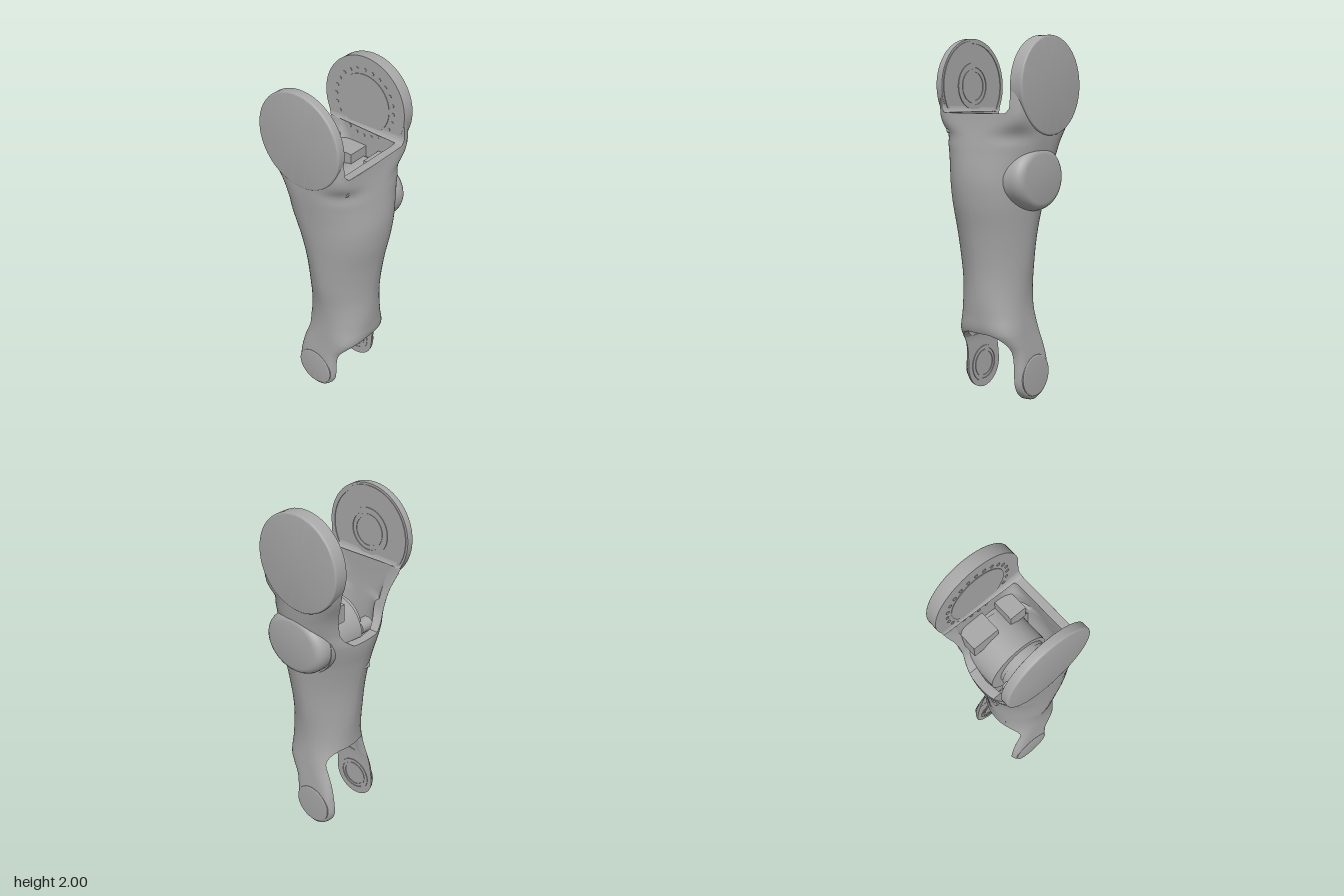
import * as THREE from 'three';
import { toCreasedNormals } from 'three/addons/utils/BufferGeometryUtils.js';

const grey = new THREE.MeshStandardMaterial({ color: 0xa8a8a8 });
grey.name = 'satin grey';

const SEAM = 0.01; // z of the plane where the two shell halves meet
const KNEE = { x: -0.033, y: 1.738, r: 0.262 };
const ANKLE = { x: -0.03, y: 0.143, r: 0.14 };

// Smooth curve through [y, value] pairs
function curve(...pairs) {
  const ys = pairs.map(p => p[0]);
  const f = new THREE.CubicInterpolant(ys, pairs.map(p => p[1]), 1);
  return y => f.evaluate(THREE.MathUtils.clamp(y, ys[0], ys[ys.length - 1]))[0];
}

// Outline of the leg: side edges, front and back depth, squareness of the section
const rightEdge = curve([0.143, 0.11], [0.25, 0.12], [0.3, 0.14], [0.35, 0.18], [0.4, 0.217], [0.5, 0.23], [0.75, 0.24],
  [0.95, 0.262], [1.12, 0.288], [1.25, 0.293], [1.4, 0.272], [1.55, 0.245], [1.65, 0.235], [1.738, 0.227]);
const leftEdge = curve([0.143, -0.17], [0.25, -0.16], [0.35, -0.15], [0.45, -0.15], [0.52, -0.147], [0.75, -0.167],
  [0.95, -0.19], [1.1, -0.215], [1.26, -0.24], [1.35, -0.225], [1.45, -0.23], [1.6, -0.267], [1.738, -0.293]);
const frontDepth = curve([0, 0.195], [0.04, 0.21], [0.1, 0.213], [0.2, 0.213], [0.4, 0.202], [0.55, 0.2], [0.65, 0.207],
  [0.8, 0.232], [1.1, 0.265], [1.3, 0.28], [1.45, 0.291], [1.6, 0.292], [1.8, 0.289], [2, 0.28]);
const backDepth = curve([0, 0.185], [0.04, 0.2], [0.1, 0.203], [0.2, 0.203], [0.4, 0.187], [0.55, 0.178], [0.65, 0.182],
  [0.8, 0.2], [1.08, 0.235], [1.25, 0.255], [1.4, 0.278], [1.5, 0.29], [1.6, 0.292], [1.8, 0.289], [2, 0.28]);
const squareRight = curve([0, 8], [0.2, 7], [0.3, 5], [0.42, 3], [0.55, 2.2], [1.2, 2.1], [1.42, 2.5], [1.5, 3.2], [1.6, 9], [1.7, 11], [2, 11]);
const squareLeft = curve([0, 8], [0.2, 7], [0.3, 5], [0.42, 3], [0.55, 2.2], [1.2, 2.1], [1.35, 3], [1.5, 5], [1.6, 9], [1.7, 11], [2, 11]);
const wall = curve([0, 0.03], [0.6, 0.03], [1, 0.045], [2, 0.045]);
const leftFork = curve([1.26, 0.4], [1.31, 0.66], [1.4, 0.8], [1.55, 0.95], [1.6, 1]);

function edges(y) {
  for (const [c, outside] of [[KNEE, y > KNEE.y], [ANKLE, y < ANKLE.y]]) {
    if (!outside) continue;
    const r = c === KNEE ? c.r - 0.002 : c.r; // tucked just inside the knee plates
    const w = Math.sqrt(Math.max(0, r ** 2 - (y - c.y) ** 2));
    return [c.x - w, c.x + w];
  }
  return [leftEdge(y), rightEdge(y)];
}

// Depth at which the side wall is cut away, giving the upper and lower forks
function cutDepth(y, isRight, top, bottom) {
  const fillet = (d, r) => r * (1 - Math.sqrt(Math.max(0, 1 - d * d)));
  if (y > 1) {
    if (!isRight) return y < 1.26 ? 0 : top * leftFork(y);
    return y < 1.595 ? 0 : top - fillet(Math.max(0, (1.635 - y) / 0.04), 0.04);
  }
  const end = isRight ? 0.4 : 0.52;
  return y > end ? 0 : bottom - fillet(Math.max(0, (y - end + 0.1) / 0.1), 0.1);
}

// One C-shaped half of the hollow shell, lofted upwards; side is +1 front, -1 back
function shellHalf(side) {
  const N = 48;
  const [top, bottom] = side > 0 ? [0.241, 0.165] : [0.231, 0.165];
  const levels = [];
  for (let i = 0; i <= 12; i++) {
    const c = Math.cos((i / 12) * Math.PI / 2);
    levels.push(ANKLE.y - ANKLE.r * c, KNEE.y + (KNEE.r - 0.002) * c);
  }
  for (let y = 0.16; y < 1.73; y += 0.02) levels.push(y);
  for (const b of [0.33, 0.4, 0.52, 1.26, 1.595]) levels.push(b - 0.001, b + 0.001);
  levels.sort((a, b) => a - b);

  const rings = levels.map(y => {
    const [xl, xr] = edges(y);
    const xc = (xl + xr) / 2, a = Math.max((xr - xl) / 2, 0.001);
    const b = side > 0 ? frontDepth(y) - SEAM : backDepth(y) + SEAM;
    const cutR = cutDepth(y, true, top, bottom), cutL = cutDepth(y, false, top, bottom);
    const arc = (ax, bz, sharpen) => {
      const nR = squareRight(y) * sharpen, nL = squareLeft(y) * sharpen;
      const start = (cut, n) => {
        const s = Math.min(cut / bz, 0.97);
        return Math.atan2(s, (1 - s ** n) ** (1 / n));
      };
      const lo = start(cutR, nR), hi = Math.PI - start(cutL, nL), pts = [];
      for (let i = 0; i <= N; i++) {
        const t = THREE.MathUtils.clamp(i / N * Math.PI, lo, hi);
        const c = Math.cos(t), s = Math.sin(t), n = c > 0 ? nR : nL;
        const r = (Math.abs(c) ** n + Math.abs(s) ** n) ** (-1 / n);
        pts.push([xc + ax * r * c, bz * r * s]);
      }
      return pts;
    };
    const outer = arc(a, b, 1);
    const solid = y < 0.33 || y > 1.595; // fork plates are solid
    const inner = solid
      ? outer.map(([x], i) => [x, THREE.MathUtils.lerp(cutR, cutL, i / N)])
      : arc(Math.max(a - wall(y), 0.01), Math.min(b - wall(y), y > 1 ? top : bottom + Math.max(0, y - 0.5)), y > 1.4 ? 1.5 : 1);
    return [...outer, ...inner.reverse()].map(([x, z]) => new THREE.Vector3(x, y, SEAM + side * z));
  });

  const pos = [], n = rings[0].length;
  const tri = (a, b, c) => {
    const area = b.clone().sub(a).cross(c.clone().sub(a)).length();
    if (area < 1e-9) return;
    for (const p of side > 0 ? [a, b, c] : [a, c, b]) pos.push(p.x, p.y, p.z);
  };
  for (let k = 0; k + 1 < rings.length; k++) {
    for (let j = 0; j < n; j++) {
      const m = (j + 1) % n, [lo, up] = [rings[k], rings[k + 1]];
      tri(lo[j], up[j], up[m]);
      tri(lo[j], up[m], lo[m]);
    }
  }
  const g = new THREE.BufferGeometry();
  g.setAttribute('position', new THREE.Float32BufferAttribute(pos, 3));
  return toCreasedNormals(g, 0.6);
}

export function createModel() {
  const model = new THREE.Group();
  model.name = 'lowerLeg';
  const add = (name, geometry, x = 0, y = 0, z = 0) => {
    const mesh = new THREE.Mesh(geometry, grey);
    mesh.name = name;
    mesh.position.set(x, y, z);
    model.add(mesh);
    return mesh;
  };
  // Cylinder along z between two depths
  const drum = (name, x, y, r, z0, z1, sides = 48) =>
    add(name, new THREE.CylinderGeometry(r, r, z1 - z0, sides).rotateX(Math.PI / 2), x, y, (z0 + z1) / 2);
  // Round plate from depth zIn out to zOut, its outer rim rounded by w across and h deep
  const plate = (name, c, r, zIn, zOut, w, h) => {
    const side = Math.sign(zOut), t = Math.abs(zOut - zIn);
    const profile = [new THREE.Vector2(0, 0), new THREE.Vector2(r, 0)];
    for (let i = 0; i <= 5; i++) {
      const a = i / 5 * Math.PI / 2;
      profile.push(new THREE.Vector2(r - w * (1 - Math.cos(a)), t - h * (1 - Math.sin(a))));
    }
    profile.push(new THREE.Vector2(0, t));
    const g = new THREE.LatheGeometry(profile, 64).rotateX(side * Math.PI / 2);
    return add(name, toCreasedNormals(g, 0.4), c.x, c.y, zIn);
  };
  // Flat ring lying in the xy plane
  const ring = (name, x, y, z, rOut, rIn, depth) => {
    const s = new THREE.Shape().absarc(0, 0, rOut, 0, Math.PI * 2);
    s.holes.push(new THREE.Path().absarc(0, 0, rIn, 0, Math.PI * 2, true));
    return add(name, new THREE.ExtrudeGeometry(s, { depth, bevelEnabled: false, curveSegments: 32 }), x, y, z);
  };

  add('frontShell', shellHalf(1));
  add('backShell', shellHalf(-1));

  // Round end plates of both forks
  plate('frontKneePlate', KNEE, KNEE.r, 0.25, 0.295, 0.01, 0.01);
  plate('backKneePlate', KNEE, KNEE.r, -0.22, -0.295, 0.01, 0.01);
  plate('frontAnklePlate', ANKLE, 0.118, 0.176, 0.216, 0.01, 0.006);
  plate('backAnklePlate', ANKLE, 0.118, -0.156, -0.206, 0.01, 0.006);

  // Rounded oval motor cover on the back
  plate('motorCover', { x: 0.025, y: 1.25 }, 0.203, -0.115, -0.285, 0.05, 0.06).scale.y = 0.86;

  // Motor and belt drive inside the shell
  drum('motorBody', 0.005, 1.25, 0.185, -0.2, 0.04);
  drum('motorFlange', 0.025, 1.25, 0.145, 0.04, 0.06);
  drum('drivePulley', 0.025, 1.25, 0.15, 0.06, 0.1);
  drum('idlerRoller', -0.11, 1.25, 0.04, 0.085, 0.165, 24);
  for (const [x, width] of [[-0.095, 0.16], [0.12, 0.1]]) {
    add('motorBracket', new THREE.BoxGeometry(width, 0.1, 0.13), x, 1.44, -0.16);
  }

  // Knee bearing on the back plate, with its circle of bolts
  drum('kneeBearing', KNEE.x, KNEE.y, 0.165, -0.223, -0.217);
  for (let i = 0; i < 24; i++) {
    const t = i / 24 * Math.PI * 2;
    drum('kneeBolt', KNEE.x + 0.19 * Math.cos(t), KNEE.y + 0.19 * Math.sin(t), 0.01, -0.223, -0.217, 10);
  }
  // Knee hub rings on the front plate
  ring('kneeRim', KNEE.x, KNEE.y, 0.246, 0.25, 0.235, 0.006);
  ring('kneeHub', KNEE.x, KNEE.y, 0.246, 0.13, 0.105, 0.006);
  ring('kneeHubInner', KNEE.x, KNEE.y, 0.247, 0.095, 0.08, 0.005);

  // Ankle bearing rings
  for (const z of [0.171, -0.158]) {
    ring('ankleRim', ANKLE.x, ANKLE.y, z, 0.105, 0.09, 0.006);
    ring('ankleHub', ANKLE.x, ANKLE.y, z, 0.08, 0.07, 0.006);
  }

  // Screws joining the two halves
  for (const [x, y, z] of [[0.212, 1.5, 0.22], [-0.186, 1.05, 0.09], [-0.122, 0.61, 0.09], [0.197, 0.57, 0.1]]) {
    drum('screwHead', x, y, 0.016, z - 0.04, z, 16);
  }
  return model;
}
